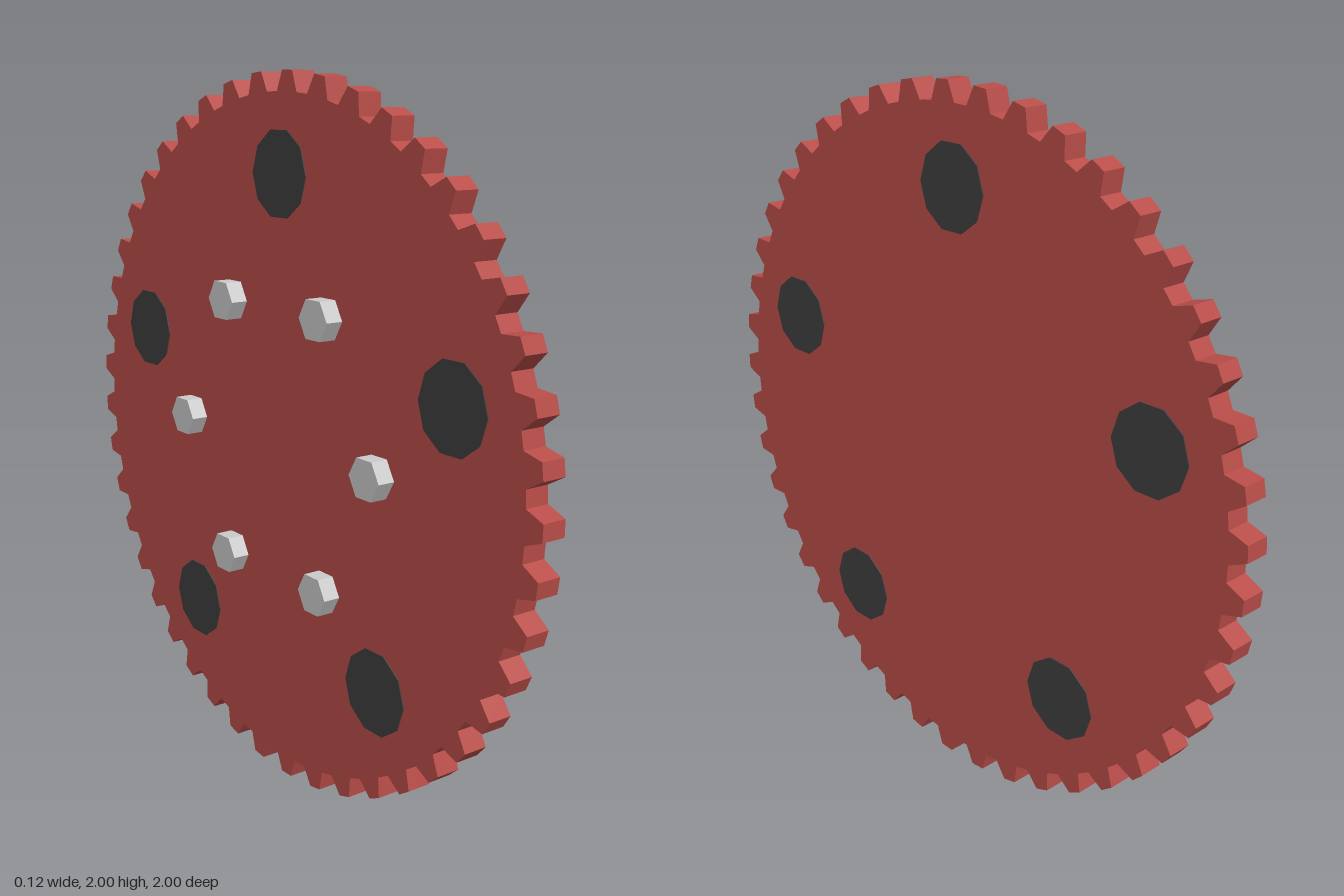
import * as THREE from 'three';

const TEETH = 45, TIP_R = 1, ROOT_R = 0.946;
const FACE_MIN = -0.015, FACE_MAX = 0.055;

const material = (color) => new THREE.MeshStandardMaterial({ color, flatShading: true });

// Toothed outline: root, tip, tip, root for each tooth
function gearShape() {
  const points = [];
  for (let i = 0; i < TEETH; i++) {
    const mid = Math.PI + (i / TEETH) * Math.PI * 2;
    for (const [r, a] of [[ROOT_R, -0.046], [TIP_R, -0.022], [TIP_R, 0.022], [ROOT_R, 0.046]]) {
      points.push(new THREE.Vector2(r * Math.cos(mid + a), r * Math.sin(mid + a)));
    }
  }
  return new THREE.Shape(points);
}

// Faceted disc lying along x, from x0 to x1
function disc(radius, sides, x0, x1) {
  return new THREE.CylinderGeometry(radius, radius, x1 - x0, sides)
    .rotateZ(Math.PI / 2)
    .translate((x0 + x1) / 2, 0, 0);
}

// Repeats a part evenly around the axle; angle 0 is +z, a quarter turn is +y
function ring(parent, name, geometry, mat, count, radius, start) {
  for (let i = 0; i < count; i++) {
    const a = start + (i / count) * Math.PI * 2;
    const mesh = new THREE.Mesh(geometry, mat);
    mesh.name = name + (i + 1);
    mesh.position.set(0, radius * Math.sin(a), radius * Math.cos(a));
    parent.add(mesh);
  }
}

export function createModel() {
  const group = new THREE.Group();
  group.name = 'gearWheel';

  const wheel = new THREE.Group();
  wheel.name = 'wheel';
  wheel.position.y = 1;
  group.add(wheel);

  // Toothed plate
  const plate = new THREE.ExtrudeGeometry(gearShape(), { depth: FACE_MAX - FACE_MIN, bevelEnabled: false })
    .translate(0, 0, FACE_MIN)
    .rotateY(Math.PI / 2);
  const gear = new THREE.Mesh(plate, material(0xb94d49));
  gear.name = 'toothedPlate';
  wheel.add(gear);

  // Dark ten-sided inserts, just proud of both faces
  ring(wheel, 'insert', disc(0.12, 10, FACE_MIN - 0.003, FACE_MAX + 0.003),
    material(0x3e3e40), 5, 0.733, Math.PI / 2);

  // Hexagonal bolts on one face only
  ring(wheel, 'bolt', disc(0.06, 6, -0.065, FACE_MIN + 0.01),
    material(0xcccccc), 6, 0.433, 0);

  return group;
}
